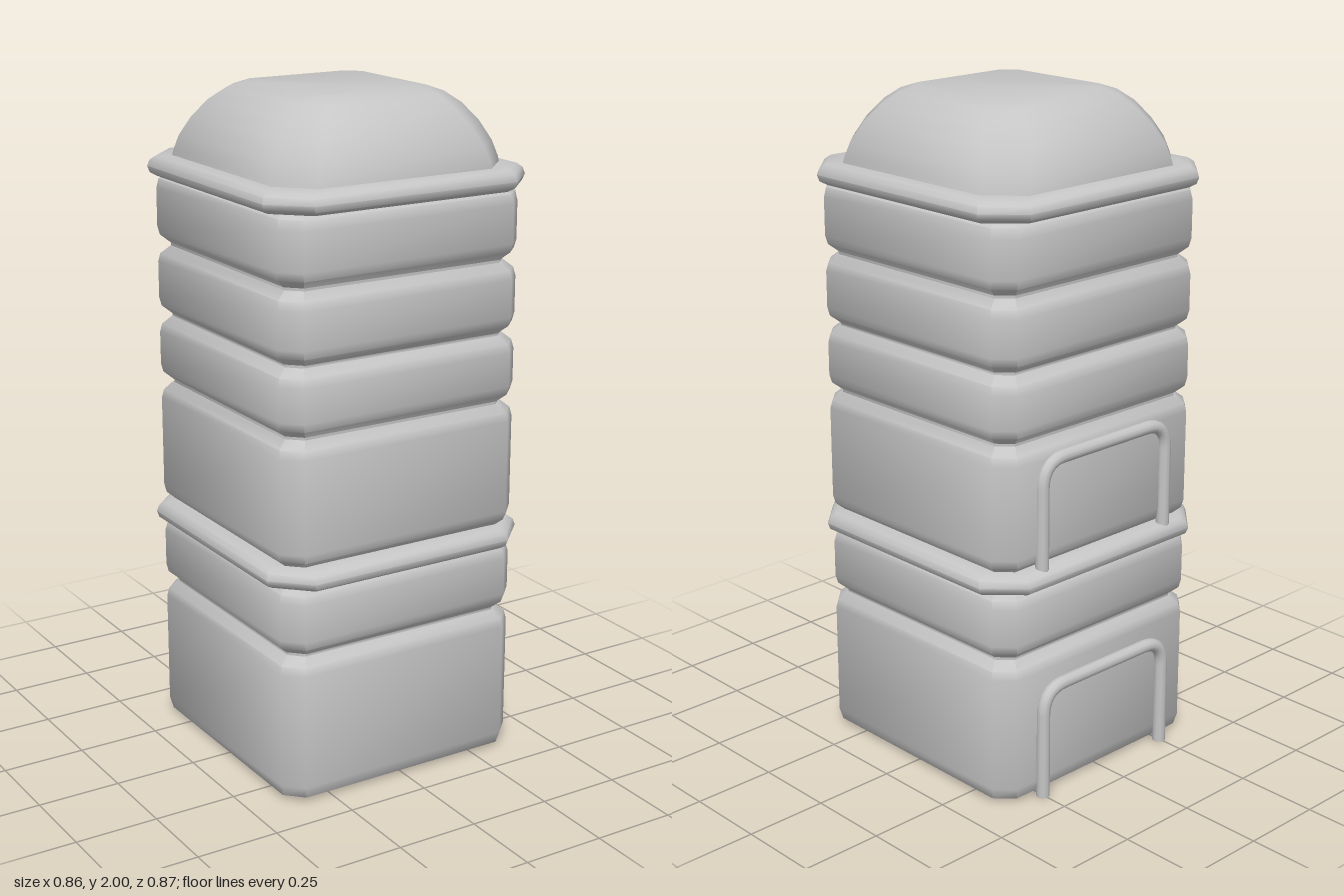
import * as THREE from 'three';
import { toCreasedNormals } from 'three/addons/utils/BufferGeometryUtils.js';

const grey = new THREE.MeshStandardMaterial({ color: 0xc6c6c6 });
grey.name = 'light grey';

// Square ring with chamfered corners, counter-clockwise seen from above.
function ring(half, y, chamfer) {
  const x = half, z = half + 0.005, c = chamfer;
  return [[x - c, z], [x, z - c], [x, -z + c], [x - c, -z], [-x + c, -z], [-x, -z + c], [-x, z - c], [-x + c, z]]
    .map(([px, pz]) => [px, y, pz]);
}

// Skins rows of [half width, y, corner chamfer], bottom to top, with flat ends.
function loft(name, rows, crease = 0.9) {
  const rings = rows.map((r) => ring(...r));
  const n = 8;
  const pos = rings.flat(2);
  const index = [];
  for (let i = 0; i < rings.length - 1; i++) {
    for (let j = 0; j < n; j++) {
      const a = i * n + j, b = i * n + (j + 1) % n;
      index.push(a, b, b + n, a, b + n, a + n);
    }
  }
  const top = (rings.length - 1) * n;
  for (let j = 1; j < n - 1; j++) {
    index.push(0, j + 1, j);
    index.push(top, top + j, top + j + 1);
  }
  const geometry = new THREE.BufferGeometry();
  geometry.setAttribute('position', new THREE.Float32BufferAttribute(pos, 3));
  geometry.setIndex(index);
  const mesh = new THREE.Mesh(toCreasedNormals(geometry, crease), grey);
  mesh.name = name;
  return mesh;
}

// Rounded grab handle standing upright on the back.
function handle(name, y0, y1, z) {
  const w = 0.25, r = 0.08, radius = 0.02, top = y1 - radius;
  const v = (x, y) => new THREE.Vector3(x, y, z);
  const path = new THREE.CurvePath();
  path.add(new THREE.LineCurve3(v(-w, y0), v(-w, top - r)));
  path.add(new THREE.QuadraticBezierCurve3(v(-w, top - r), v(-w, top), v(-w + r, top)));
  path.add(new THREE.LineCurve3(v(-w + r, top), v(w - r, top)));
  path.add(new THREE.QuadraticBezierCurve3(v(w - r, top), v(w, top), v(w, top - r)));
  path.add(new THREE.LineCurve3(v(w, top - r), v(w, y0)));
  const group = new THREE.Group();
  group.name = name;
  const bar = new THREE.Mesh(new THREE.TubeGeometry(path, 60, radius, 10), grey);
  bar.name = name + 'Bar';
  group.add(bar);
  for (const side of [-1, 1]) {
    const end = new THREE.Mesh(new THREE.CircleGeometry(radius, 10), grey);
    end.name = name + 'End';
    end.rotation.x = Math.PI / 2;
    end.position.set(side * w, y0, z);
    group.add(end);
  }
  return group;
}

export function createModel() {
  const model = new THREE.Group();
  model.name = 'ribbedTower';

  // Body panels separated by V-shaped grooves
  const grooves = [0.45, 0.69, 1.095, 1.3, 1.515];
  const bodyRows = [[0.37, 0.005, 0.05], [0.387, 0.015, 0.05], [0.395, 0.05, 0.05]];
  for (const y of grooves) {
    const gap = y === 0.69 ? 0.05 : 0.028;
    bodyRows.push([0.395, y - gap - 0.025, 0.05], [0.39, y - gap, 0.05]);
    bodyRows.push([0.363, y - (y === 0.69 ? 0.025 : 0.004), 0.04], [0.363, y + (y === 0.69 ? 0.025 : 0.004), 0.04]);
    bodyRows.push([0.39, y + gap, 0.05], [0.395, y + gap + 0.025, 0.05]);
  }
  bodyRows.push([0.395, 1.68, 0.05], [0.39, 1.71, 0.05], [0.363, 1.725, 0.04]);
  model.add(loft('body', bodyRows));

  // Projecting rims with rounded outer edges
  const rim = (y) => [
    [0.365, y - 0.032, 0.06], [0.405, y - 0.03, 0.09], [0.425, y - 0.018, 0.1], [0.43, y, 0.1],
    [0.425, y + 0.018, 0.1], [0.41, y + 0.03, 0.095], [0.365, y + 0.034, 0.08],
  ];
  model.add(loft('middleRim', rim(0.688)));
  model.add(loft('topRim', rim(1.752)));

  // Domed roof with a flat top
  model.add(loft('roof', [
    [0.375, 1.77, 0.09], [0.37, 1.8, 0.09], [0.357, 1.845, 0.09], [0.33, 1.9, 0.09],
    [0.29, 1.95, 0.08], [0.245, 1.983, 0.06], [0.2, 2, 0.04],
  ]));

  // Grab handles
  model.add(handle('lowerHandle', 0, 0.36, -0.411));
  model.add(handle('upperHandle', 0.7, 1.055, -0.402));
  return model;
}
